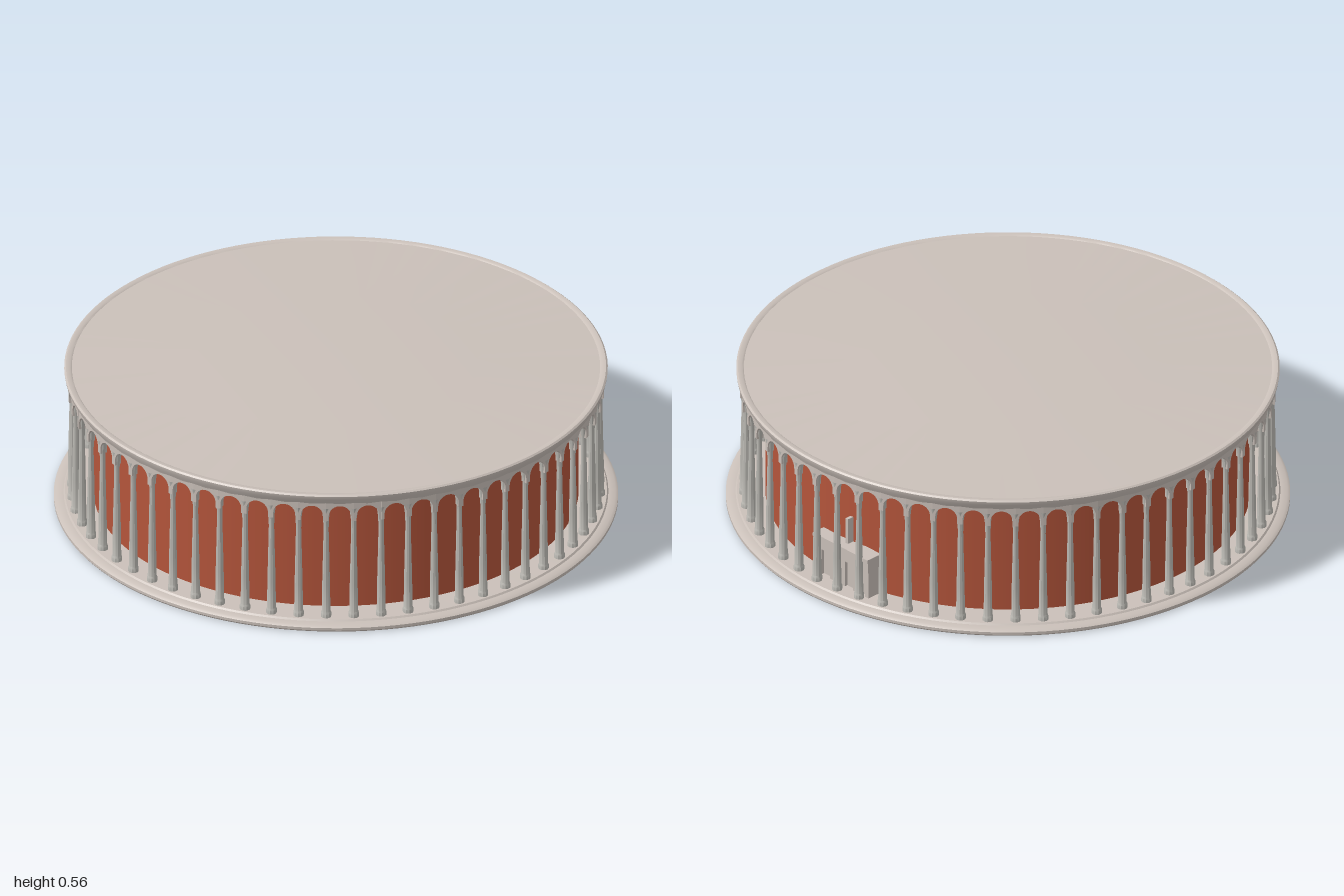
import * as THREE from 'three';
import { toCreasedNormals } from 'three/addons/utils/BufferGeometryUtils.js';

const mat = (name, color) => {
  const m = new THREE.MeshStandardMaterial({ color });
  m.name = name;
  return m;
};

export function createModel() {
  const stone = mat('pale stone', 0xcac0b9);
  const columnStone = mat('column stone', 0xbcbab4);
  const brick = mat('red brick wall', 0xb4553b);
  const group = new THREE.Group();
  const BAYS = 60, R = 0.935;

  const add = (name, geometry, material, parent = group) => {
    const mesh = new THREE.Mesh(geometry, material);
    mesh.name = name;
    parent.add(mesh);
    return mesh;
  };
  const lathe = (pts, segments) => toCreasedNormals(
    new THREE.LatheGeometry(pts.map(([x, y]) => new THREE.Vector2(x, y)), segments), 0.6);

  // Round plinth with a low inner step
  add('base', lathe([[0, 0], [0.995, 0], [1, 0.006], [1, 0.016], [0.99, 0.023],
    [0.965, 0.024], [0.96, 0.03], [0.84, 0.03]], 120), stone);

  // Recessed drum wall
  add('wall', new THREE.CylinderGeometry(0.86, 0.86, 0.47, 120, 1, true).translate(0, 0.263, 0), brick);

  // Flared cornice, rim and shallow conical roof
  add('roof', lathe([[0.85, 0.49], [0.92, 0.49], [0.946, 0.482], [0.95, 0.495], [0.961, 0.512],
    [0.963, 0.525], [0.957, 0.53], [0.942, 0.53], [0.936, 0.526], [0.5, 0.543], [0, 0.555]], 120), stone);

  // One arch spandrel, repeated around the ring
  const half = R * Math.tan(Math.PI / BAYS) + 0.001, open = 0.04, spring = 0.44;
  const shape = new THREE.Shape();
  shape.moveTo(-half, spring - 0.02);
  shape.lineTo(-open, spring - 0.02);
  shape.lineTo(-open, spring);
  shape.absarc(0, spring, open, Math.PI, 0, true);
  shape.lineTo(open, spring - 0.02);
  shape.lineTo(half, spring - 0.02);
  shape.lineTo(half, 0.497);
  shape.lineTo(-half, 0.497);
  const archGeo = new THREE.ExtrudeGeometry(shape, { depth: 0.026, bevelEnabled: false, curveSegments: 10 });
  archGeo.translate(0, 0, R - 0.013);

  // Slender tapering column with a foot and flared head
  const columnGeo = lathe([[0.019, 0.024], [0.019, 0.045], [0.016, 0.052], [0.0145, 0.16],
    [0.0095, 0.38], [0.011, 0.425], [0.017, 0.47]], 10);
  columnGeo.translate(0, 0, R);

  const arches = new THREE.Group(), columns = new THREE.Group();
  arches.name = 'arches';
  columns.name = 'columns';
  group.add(arches, columns);
  for (let i = 0; i < BAYS; i++) {
    const a = (i / BAYS) * Math.PI * 2;
    add('column', columnGeo, columnStone, columns).rotation.y = a;
    add('arch', archGeo, stone, arches).rotation.y = a + Math.PI / BAYS;
  }

  // Entrance porch on the +x side
  const entrance = new THREE.Group();
  entrance.name = 'entrance';
  entrance.position.set(0.845, 0, -0.095);
  group.add(entrance);
  const box = (name, w, h, d, x, y, z) =>
    add(name, new THREE.BoxGeometry(w, h, d).translate(x, y, z), stone, entrance);
  box('doorBack', 0.04, 0.11, 0.25, 0.02, 0.085, 0);
  box('lintel', 0.06, 0.045, 0.27, 0.03, 0.16, 0);
  box('lintelCap', 0.068, 0.014, 0.28, 0.034, 0.188, 0);
  for (let i = 0; i < 5; i++) box('doorPost', 0.052, 0.112, 0.018, 0.026, 0.085, -0.12 + i * 0.06);
  box('doorFinial', 0.03, 0.1, 0.012, 0.02, 0.245, 0);

  return group;
}
